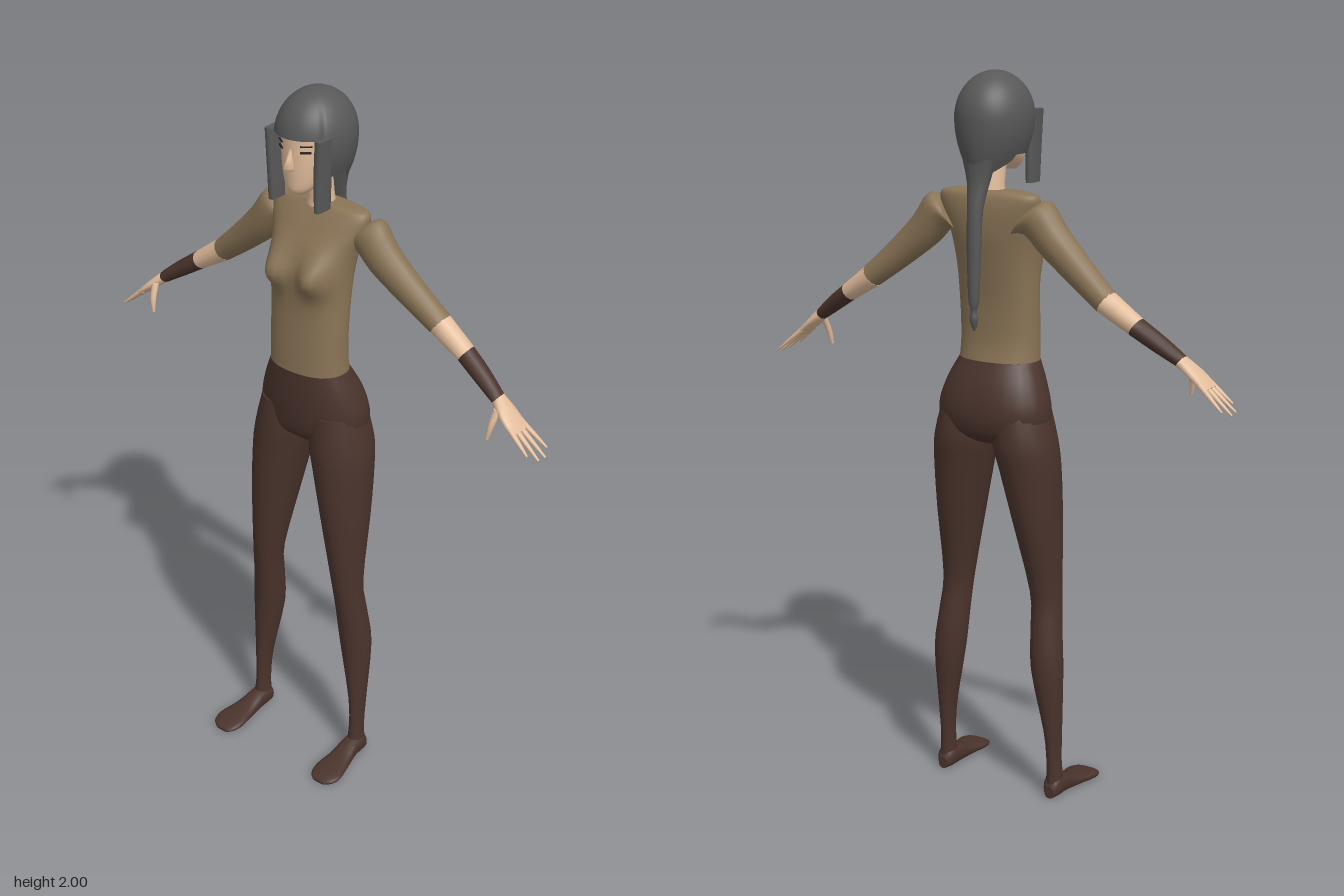
import * as THREE from 'three';

const mat = (name, color, side = THREE.FrontSide) => {
  const m = new THREE.MeshStandardMaterial({ color, side });
  m.name = name;
  return m;
};
const X = new THREE.Vector3(1, 0, 0), Y = new THREE.Vector3(0, 1, 0), Z = new THREE.Vector3(0, 0, 1);

// Catmull-Rom resampling of rows of numbers
function smooth(rows, steps) {
  const out = [], last = rows.length - 1;
  for (let i = 0; i < last; i++) {
    const [p, a, b, q] = [rows[Math.max(i - 1, 0)], rows[i], rows[i + 1], rows[Math.min(i + 2, last)]];
    for (let s = 0; s < steps; s++) {
      const t = s / steps;
      out.push(a.map((v, k) => v + 0.5 * t * (b[k] - p[k]
        + t * (2 * p[k] - 5 * v + 4 * b[k] - q[k] + t * (3 * (v - b[k]) + q[k] - p[k])))));
    }
  }
  out.push(rows[last]);
  return out;
}

// Skin a surface over oval rings [cx, cy, cz, a, b]; U x V points against the direction of travel
function loft(rows, U, V, { n = 12, power = 1, rule = null, caps = true } = {}) {
  const pos = [], idx = [];
  const bend = v => Math.sign(v) * Math.abs(v) ** power;
  const ring = ([x, y, z, a, b]) => {
    for (let j = 0; j < n; j++) {
      const t = j / n * Math.PI * 2;
      const p = new THREE.Vector3(x, y, z)
        .addScaledVector(U, a * bend(Math.cos(t))).addScaledVector(V, b * bend(Math.sin(t)));
      if (rule) rule(p);
      pos.push(p.x, p.y, p.z);
    }
  };
  rows.forEach(ring);
  for (let i = 0; i < rows.length - 1; i++) for (let j = 0; j < n; j++) {
    const a = i * n + j, b = i * n + (j + 1) % n;
    idx.push(a, a + n, b, b, a + n, b + n);
  }
  if (caps) [rows[0], rows[rows.length - 1]].forEach((r, end) => {
    const start = pos.length / 3;
    ring(r);
    pos.push(r[0], r[1], r[2]);
    for (let j = 0; j < n; j++) {
      const a = start + j, b = start + (j + 1) % n;
      idx.push(...(end ? [b, a, start + n] : [a, b, start + n]));
    }
  });
  return build(pos, idx);
}

function build(pos, idx) {
  const g = new THREE.BufferGeometry();
  g.setAttribute('position', new THREE.Float32BufferAttribute(pos, 3));
  g.setIndex(idx);
  g.computeVertexNormals();
  return g;
}

function mirrored(g) {
  const m = g.clone().scale(-1, 1, 1), i = m.index.array;
  for (let k = 0; k < i.length; k += 3) [i[k], i[k + 1]] = [i[k + 1], i[k]];
  m.computeVertexNormals();
  return m;
}

// Upright body section [y, halfWidth, front, back] to a ring
const body = ([y, w, f, b]) => [0, y, (f + b) / 2, w, (f - b) / 2];
// Limb along a direction in the xy plane: rows [x, y, z, depth, thickness]
const limb = (rows, dx, dy, n = 12) => {
  const l = Math.hypot(dx, dy);
  return loft(smooth(rows, 3), Z, new THREE.Vector3(-dy / l, dx / l, 0), { n });
};

// Hair dome with a fringe in front, longer sides and a narrowing nape
function hairCap() {
  const n = 64, m = 18, pos = [], idx = [];
  for (let i = 0; i <= m; i++) for (let j = 0; j < n; j++) {
    const a = j / n * Math.PI * 2, c = Math.cos(a), s = Math.sin(a);
    const edge = s > 0.62 ? 1.895 : s > -0.2 ? 1.79 : THREE.MathUtils.lerp(1.78, 1.73, (-s - 0.2) / 0.8);
    const y = 2 - (2 - edge) * (i / m) ** 1.7;
    const up = Math.max(0, (y - 1.88) / 0.12), k = Math.max(0, (1.88 - y) / 0.16);
    const r = Math.sqrt(Math.max(0, 1 - up * up));
    const w = 0.1 * r * (1 - 0.6 * k * k);
    const half = s > 0 ? 0.117 * r - 0.08 * k * k : 0.117 * r - 0.03 * k * k;
    pos.push(w * c, y, -0.047 + half * s);
  }
  for (let i = 0; i < m; i++) for (let j = 0; j < n; j++) {
    const a = i * n + j, b = i * n + (j + 1) % n;
    idx.push(a, b, a + n, b, b + n, a + n);
  }
  return build(pos, idx);
}

export function createModel() {
  const root = new THREE.Group();
  root.name = 'standingWoman';
  const skin = mat('skin', 0xe2bd9c), shirt = mat('shirt', 0x8a7456), dark = mat('darkBrown', 0x4a332c);
  const hair = mat('hair', 0x585858, THREE.DoubleSide), lash = mat('lash', 0x2a2422);

  const add = (name, geo, m) => {
    const mesh = new THREE.Mesh(geo, m);
    mesh.name = name;
    root.add(mesh);
  };
  const pair = (name, geo, m) => {
    add('left' + name, geo, m);
    add('right' + name, mirrored(geo), m);
  };

  // Torso with bust
  const bust = p => {
    if (p.z < -0.03) return;
    const dy = (p.y - 1.52) / (p.y > 1.52 ? 0.06 : 0.042), dx = (Math.abs(p.x) - 0.064) / 0.042;
    p.z += 0.045 * Math.exp(-dx * dx - dy * dy);
  };
  const torso = [
    [1.238, 0.115, 0.055, -0.102], [1.3, 0.114, 0.052, -0.092], [1.4, 0.115, 0.047, -0.095],
    [1.5, 0.117, 0.045, -0.11], [1.58, 0.126, 0.03, -0.124], [1.64, 0.145, 0.0, -0.126],
    [1.68, 0.15, -0.025, -0.12], [1.694, 0.125, -0.035, -0.11], [1.698, 0.05, -0.036, -0.1],
  ];
  add('shirtTorso', loft(smooth(torso.map(body), 5), X, Z, { n: 40, power: 0.88, rule: bust }), shirt);

  // Hips
  const hips = [
    [1.02, 0.09, 0.01, -0.1], [1.05, 0.15, 0.043, -0.138], [1.11, 0.164, 0.053, -0.15],
    [1.18, 0.145, 0.056, -0.135], [1.242, 0.116, 0.056, -0.103],
  ];
  add('hips', loft(smooth(hips.map(body), 4), X, Z, { n: 28, power: 0.9 }), dark);

  // Legs: [y, inner, outer, front, back]
  const leg = [
    [0.03, 0.156, 0.204, 0.012, -0.05], [0.1, 0.16, 0.198, 0.004, -0.05], [0.2, 0.153, 0.2, 0.005, -0.06],
    [0.38, 0.116, 0.207, 0.01, -0.08], [0.5, 0.108, 0.195, 0.022, -0.07], [0.6, 0.1, 0.187, 0.035, -0.062],
    [0.8, 0.06, 0.188, 0.052, -0.105], [0.95, 0.025, 0.187, 0.055, -0.13],
    [1.03, 0.008, 0.178, 0.054, -0.142], [1.12, 0.01, 0.155, 0.045, -0.13],
  ].map(([y, i, o, f, b]) => [(i + o) / 2, y, (f + b) / 2, (o - i) / 2, (f - b) / 2]);
  pair('Leg', loft(smooth(leg, 3), X, Z, { n: 18 }), dark);

  // Feet: [z, x, halfWidth, height]
  const foot = [
    [-0.053, 0.18, 0.014, 0.035], [-0.035, 0.18, 0.026, 0.058], [0.01, 0.18, 0.028, 0.056],
    [0.06, 0.184, 0.035, 0.036], [0.12, 0.188, 0.046, 0.025], [0.152, 0.188, 0.038, 0.017],
    [0.167, 0.186, 0.02, 0.008],
  ].map(([z, x, w, h]) => [x, h / 2, z, h / 2, w]);
  pair('Foot', loft(smooth(foot, 3), Y, X, { n: 16, power: 0.8 }), dark);

  // Arms: sleeve, bare elbow, wrist wrap, palm
  const elbow = [0.365, 1.44, -0.097, 0.034, 0.033], cuff = [0.45, 1.385, -0.093, 0.029, 0.026];
  const wrist = [0.567, 1.307, -0.07, 0.022, 0.017];
  pair('Sleeve', limb([[0.11, 1.62, -0.08, 0.04, 0.055], [0.15, 1.633, -0.078, 0.047, 0.057],
    [0.2, 1.578, -0.078, 0.044, 0.05], [0.28, 1.508, -0.086, 0.038, 0.041], elbow], 0.79, -0.615, 16), shirt);
  pair('Forearm', limb([elbow, cuff], 0.82, -0.57), skin);
  pair('WristWrap', limb([cuff, [0.51, 1.346, -0.082, 0.027, 0.023], wrist], 0.82, -0.57), dark);
  pair('Palm', limb([wrist, [0.6, 1.281, -0.063, 0.034, 0.014], [0.628, 1.257, -0.06, 0.037, 0.011],
    [0.645, 1.243, -0.06, 0.033, 0.007]], 0.79, -0.61), skin);

  // Fingers and thumb
  const tips = [[0.69, 1.204, -0.024], [0.71, 1.189, -0.047], [0.712, 1.187, -0.075], [0.698, 1.198, -0.103]];
  tips.forEach(([x, y, z], i) => {
    const z0 = -0.034 - i * 0.0175;
    pair('Finger' + (i + 1), limb([[0.625, 1.259, z0, 0.009, 0.008],
      [(0.625 + x) / 2, (1.259 + y) / 2, (z0 + z) / 2, 0.007, 0.006], [x, y, z, 0.003, 0.003]], 0.77, -0.64, 8), skin);
  });
  pair('Thumb', limb([[0.583, 1.292, -0.045, 0.01, 0.011], [0.578, 1.25, -0.027, 0.009, 0.009],
    [0.572, 1.212, -0.02, 0.004, 0.004]], 0, -1, 8), skin);

  // Neck, head, nose
  add('neck', loft([[0, 1.67, -0.067, 0.045, 0.04], [0, 1.71, -0.066, 0.036, 0.036],
    [0, 1.8, -0.052, 0.036, 0.038]], X, Z, { n: 16 }), skin);
  const head = [
    [1.742, 0.018, 0.044, 0.005], [1.755, 0.036, 0.052, -0.025], [1.78, 0.053, 0.055, -0.065],
    [1.82, 0.066, 0.058, -0.11], [1.87, 0.073, 0.058, -0.13], [1.92, 0.073, 0.055, -0.13], [1.96, 0.05, 0.02, -0.1],
  ];
  add('head', loft(smooth(head.map(body), 3), X, Z, { n: 28 }), skin);
  add('nose', loft([[0, 1.808, 0.053, 0.009, 0.005], [0, 1.82, 0.059, 0.012, 0.025],
    [0, 1.84, 0.056, 0.008, 0.015], [0, 1.866, 0.052, 0.006, 0.007]], X, Z, { n: 10 }), skin);

  // Eyelids and brows
  pair('Eyelid', new THREE.BoxGeometry(0.028, 0.005, 0.006).rotateY(0.62).translate(0.039, 1.861, 0.043), lash);
  pair('Brow', new THREE.BoxGeometry(0.03, 0.003, 0.006).rotateY(0.62).translate(0.04, 1.877, 0.043), lash);

  // Hair: cap, side locks, long tail
  add('hairCap', hairCap(), hair);
  pair('SideLock', loft([[0.074, 1.71, 0.021, 0.009, 0.027], [0.075, 1.8, 0.022, 0.011, 0.029],
    [0.08, 1.9, 0.024, 0.011, 0.028]], X, Z, { n: 12, power: 0.5 }), hair);
  const tail = [
    [0, 1.335, -0.148, 0.003, 0.003], [0, 1.365, -0.15, 0.012, 0.011], [0, 1.388, -0.15, 0.008, 0.008],
    [0, 1.42, -0.15, 0.015, 0.013], [0, 1.55, -0.148, 0.02, 0.016], [0, 1.65, -0.142, 0.022, 0.019],
    [0, 1.72, -0.126, 0.032, 0.024], [0, 1.78, -0.12, 0.05, 0.03],
  ];
  add('hairTail', loft(smooth(tail, 3), X, Z, { n: 14 }), hair);
  return root;
}
